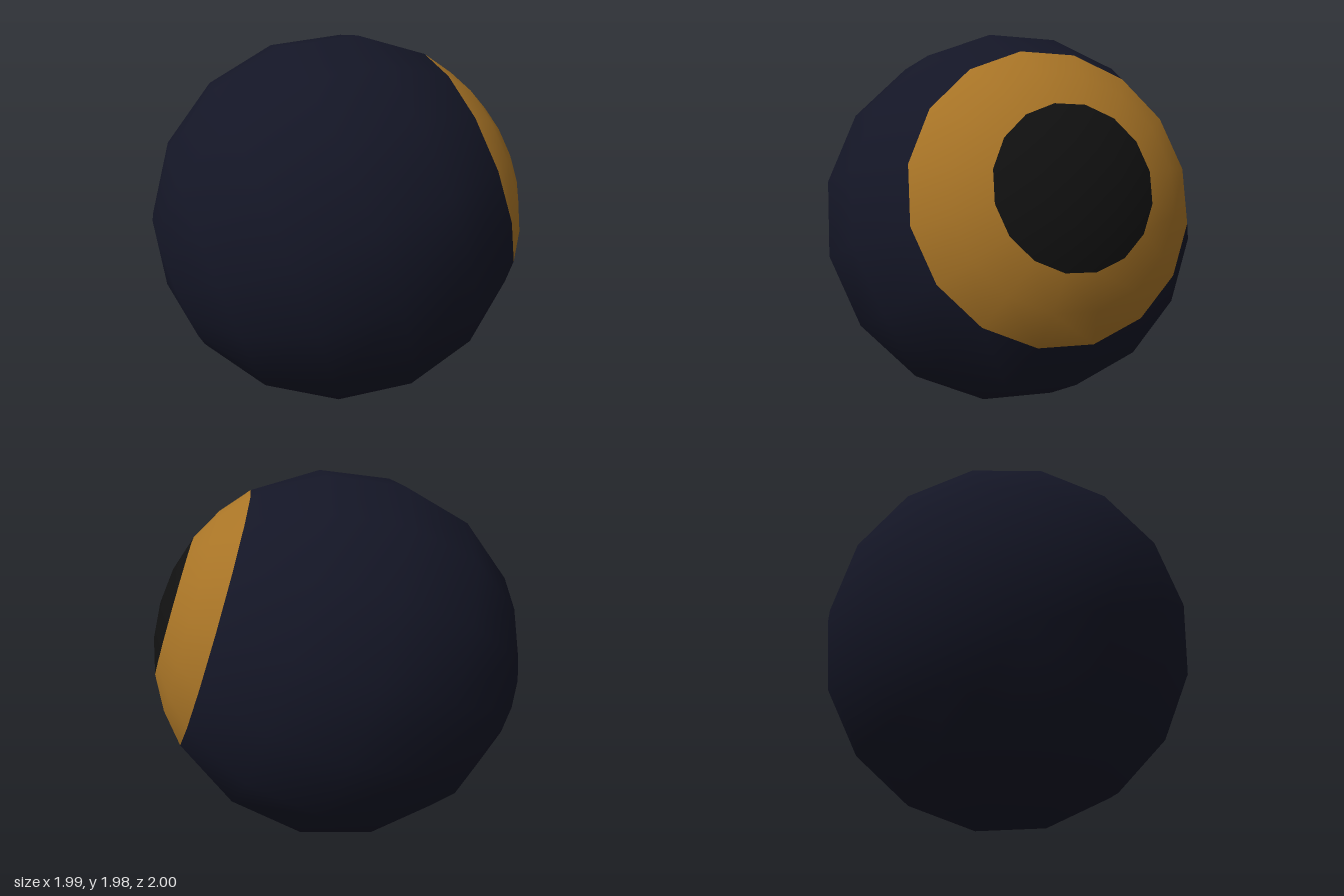
import * as THREE from 'three';

const RADIUS = 1;
const SIDES = 16;
const STEP = Math.PI / 8; // height of one ring of faces

// A band of the ball, from ring `first` to ring `last` counted from the pupil's pole
function band(name, first, last, color) {
  const geometry = new THREE.SphereGeometry(
    RADIUS, SIDES, last - first, 0, Math.PI * 2, first * STEP, (last - first) * STEP);
  const mesh = new THREE.Mesh(geometry, new THREE.MeshStandardMaterial({ color }));
  mesh.name = name;
  return mesh;
}

export function createModel() {
  const model = new THREE.Group();
  model.name = 'eyeball';

  const eye = new THREE.Group();
  eye.name = 'eye';
  eye.add(
    band('pupil', 0, 1, 0x111111),
    band('iris', 1, 2, 0xa87426),
    band('ball', 2, 8, 0x141626),
  );

  // Aim the pole along the gaze, with one corner of each ring straight above it
  const gaze = new THREE.Vector3(0.865, 0.313, 0.392).normalize();
  const side = new THREE.Vector3(-gaze.y, gaze.x, 0).normalize();
  const third = new THREE.Vector3().crossVectors(side, gaze);
  eye.quaternion.setFromRotationMatrix(new THREE.Matrix4().makeBasis(side, gaze, third));
  eye.position.y = 0.988;

  model.add(eye);
  return model;
}
